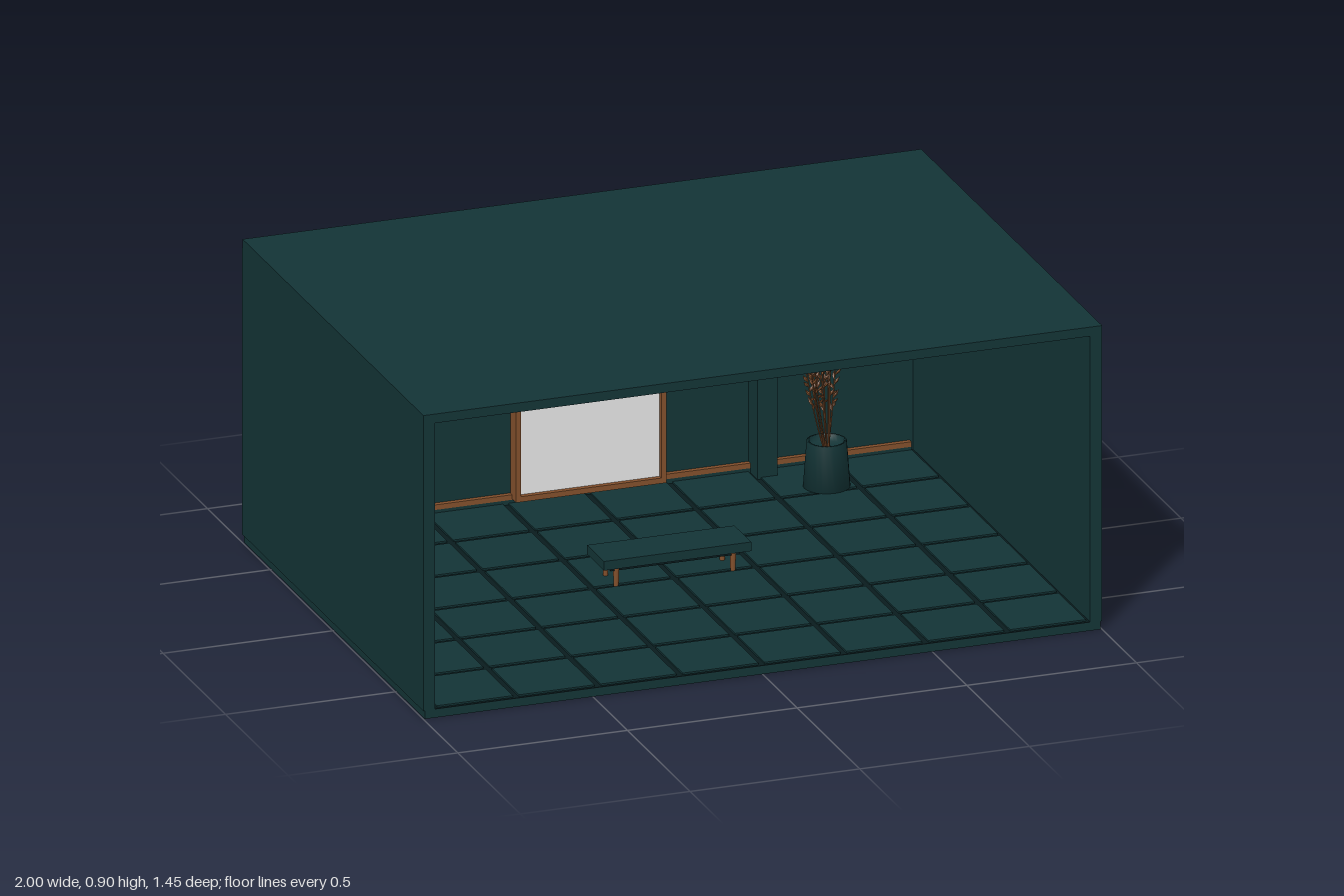
import * as THREE from 'three';

const mat = (name, color) => {
  const m = new THREE.MeshStandardMaterial({ color });
  m.name = name;
  return m;
};

export function createModel() {
  const room = new THREE.Group();
  room.name = 'galleryRoom';
  const teal = mat('deepTeal', 0x133436);
  const dark = mat('darkTeal', 0x091b1d);
  const copper = mat('copper', 0x83502c);
  const white = mat('whitePanel', 0xfcfcfc);
  const straw = mat('driedLeaf', 0x83522f);
  straw.side = THREE.DoubleSide;
  const lens = mat('lampLens', 0xb0aaa0);

  const add = (name, geo, material, parent = room) => {
    const m = new THREE.Mesh(geo, material);
    m.name = name;
    parent.add(m);
    return m;
  };
  // box from its minimum and maximum corners
  const box = (name, a, b, material, parent) => {
    const m = add(name, new THREE.BoxGeometry(b[0] - a[0], b[1] - a[1], b[2] - a[2]), material, parent);
    m.position.set((a[0] + b[0]) / 2, (a[1] + b[1]) / 2, (a[2] + b[2]) / 2);
    return m;
  };
  // rectangular border extruded along z
  const border = (name, [x, y0, y1], [ix, iy0, iy1], z0, depth, material) => {
    const rect = (w, a, b) => [[-w, a], [w, a], [w, b], [-w, b]].map(p => new THREE.Vector2(...p));
    const s = new THREE.Shape(rect(x, y0, y1));
    s.holes.push(new THREE.Path(rect(ix, iy0, iy1).reverse()));
    const m = add(name, new THREE.ExtrudeGeometry(s, { depth, bevelEnabled: false }), material);
    m.position.z = z0;
  };

  // shell, open at the front
  box('floorSlab', [-0.995, 0, -0.72], [0.995, 0.024, 0.724], teal);
  box('floorGrout', [-0.965, 0.024, -0.69], [0.965, 0.026, 0.724], dark);
  box('backWall', [-0.965, 0.024, -0.725], [0.965, 0.89, -0.69], teal);
  box('ceiling', [-1, 0.873, -0.72], [1, 0.9, 0.725], teal);
  for (const s of [-1, 1]) {
    box('sideWall', [s < 0 ? -1 : 0.965, 0.024, -0.725], [s < 0 ? -0.965 : 1, 0.873, 0.725], teal);
  }

  // floor tiles
  const nx = 8, nz = 6, tx = 1.93 / nx, tz = 1.414 / nz, gap = 0.009;
  for (let i = 0; i < nx; i++) for (let k = 0; k < nz; k++) {
    const x = -0.965 + i * tx, z = -0.69 + k * tz;
    box('floorTile', [x + gap, 0.025, z + gap], [x + tx - gap, 0.031, z + tz - gap], teal);
  }

  // portal: two posts and a lintel around the alcove
  for (const s of [-1, 1]) {
    box('portalPost', [s * 0.51 - 0.03, 0.026, -0.69], [s * 0.51 + 0.03, 0.745, -0.62], teal);
  }
  box('portalLintel', [-0.54, 0.745, -0.69], [0.54, 0.81, -0.62], teal);

  // skirting with a copper strip, between the posts
  for (const [a, b] of [[-0.955, -0.54], [-0.48, 0.48], [0.54, 0.955]]) {
    box('skirting', [a, 0.026, -0.69], [b, 0.04, -0.675], teal);
    box('copperStrip', [a, 0.04, -0.69], [b, 0.055, -0.675], copper);
  }

  // framed panel on the back wall
  border('panelFrame', [0.222, 0.042, 0.637], [0.207, 0.058, 0.619], -0.69, 0.045, copper);
  box('panel', [-0.208, 0.057, -0.69], [0.208, 0.62, -0.66], white);

  // bench
  const bench = new THREE.Group();
  bench.name = 'bench';
  room.add(bench);
  box('benchSeat', [-0.217, 0.09, -0.09], [0.217, 0.117, 0.045], teal, bench);
  box('benchApron', [-0.19, 0.077, -0.07], [0.19, 0.09, 0.025], dark, bench);
  for (const x of [-0.172, 0.172]) for (const z of [-0.065, 0.02]) {
    const leg = add('benchLeg', new THREE.CylinderGeometry(0.009, 0.007, 0.06, 10), copper, bench);
    leg.position.set(x, 0.06, z);
  }

  // ceiling track and spotlights aimed at the panel
  box('lightTrack', [-0.465, 0.842, -0.32], [0.465, 0.873, -0.29], teal);
  for (const x of [-0.343, 0, 0.343]) {
    const spot = new THREE.Group();
    spot.name = 'spotlight';
    spot.position.set(x, 0.812, -0.305);
    room.add(spot);
    add('spotStem', new THREE.CylinderGeometry(0.006, 0.006, 0.04, 8), dark, spot).position.y = 0.02;
    const head = new THREE.Group();
    head.name = 'spotHead';
    head.rotation.x = 1.0;
    spot.add(head);
    add('spotShell', new THREE.CylinderGeometry(0.019, 0.024, 0.065, 16), dark, head);
    add('spotBand', new THREE.CylinderGeometry(0.012, 0.019, 0.006, 16), lens, head).position.y = 0.035;
    add('spotLens', new THREE.CylinderGeometry(0.019, 0.019, 0.003, 16), lens, head).position.y = -0.033;
  }

  // planter
  const plant = new THREE.Group();
  plant.name = 'plant';
  plant.position.set(0.64, 0.03, -0.5);
  room.add(plant);
  const profile = [[0, 0], [0.066, 0], [0.056, 0.135], [0.048, 0.135], [0.048, 0.115], [0, 0.115]];
  add('pot', new THREE.LatheGeometry(profile.map(p => new THREE.Vector2(...p)), 24), teal, plant);

  // dried stems with small leaves
  let seed = 7;
  const rnd = () => (seed = (seed * 16807) % 2147483647) / 2147483647;
  const leafGeo = new THREE.OctahedronGeometry(1, 0);
  const up = new THREE.Vector3(0, 1, 0);
  for (let i = 0; i < 13; i++) {
    const angle = i * 2.4, r = 0.025 + 0.05 * rnd();
    const h = i === 0 ? 0.63 : 0.36 + 0.21 * rnd();
    const end = new THREE.Vector3(-0.02 + Math.cos(angle) * r, h, Math.sin(angle) * r);
    const curve = new THREE.QuadraticBezierCurve3(
      new THREE.Vector3(Math.cos(angle) * 0.008, 0.11, Math.sin(angle) * 0.008),
      new THREE.Vector3(end.x * 0.7, h * 0.6, end.z * 0.7), end);
    add('stem', new THREE.TubeGeometry(curve, 8, 0.002, 5), straw, plant);
    for (let j = 0; j < 13; j++) {
      const t = 0.42 + 0.58 * j / 12;
      const a = rnd() * Math.PI * 2;
      const dir = new THREE.Vector3(Math.cos(a), 0.9 + rnd(), Math.sin(a)).normalize();
      const len = 0.011 + 0.006 * rnd();
      const leaf = add('leaf', leafGeo, straw, plant);
      leaf.scale.set(0.005, len, 0.0025);
      leaf.quaternion.setFromUnitVectors(up, dir);
      leaf.position.copy(curve.getPoint(t)).addScaledVector(dir, len * 0.9);
    }
  }
  return room;
}
